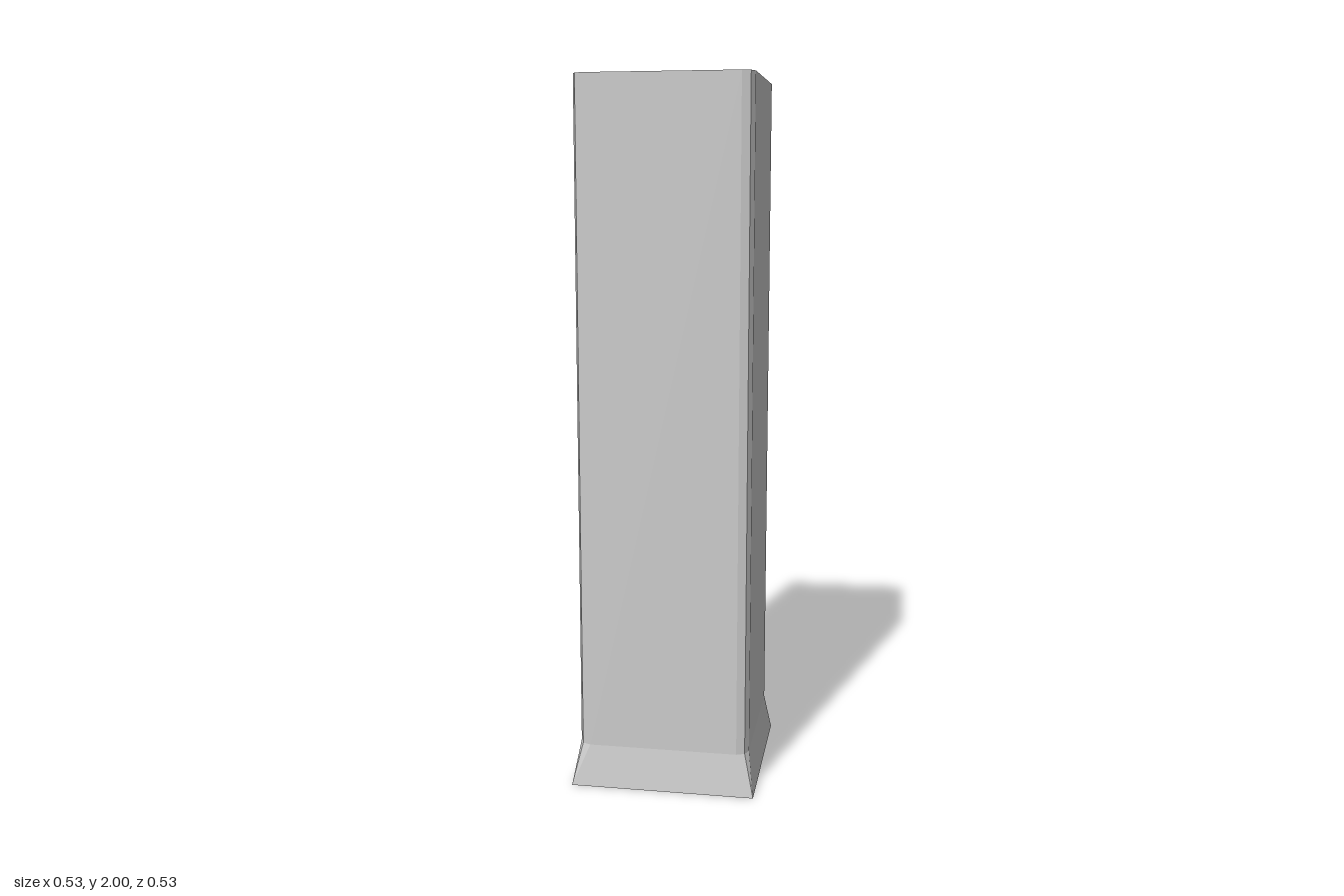
import * as THREE from 'three';

const material = new THREE.MeshStandardMaterial({ color: 0xcccccc, flatShading: true, side: THREE.DoubleSide });

// Repeat one corner's [x, z] points around the four corners at height y
function ring(corner, y) {
  const points = [];
  for (let k = 0; k < 4; k++) {
    for (const [cx, cz] of corner) {
      let x = cx, z = cz;
      for (let i = 0; i < k; i++) [x, z] = [z, -x];
      points.push([x, y, z]);
    }
  }
  return points;
}

// Open wall between two rings, skipping triangles that collapse at a shared corner
function wall(name, low, high) {
  const positions = [];
  const same = (a, b) => a.every((v, i) => v === b[i]);
  const tri = (a, b, c) => {
    if (!same(a, b) && !same(b, c) && !same(a, c)) positions.push(...a, ...b, ...c);
  };
  for (let i = 0; i < low.length; i++) {
    const j = (i + 1) % low.length;
    tri(low[i], low[j], high[j]);
    tri(low[i], high[j], high[i]);
  }
  const geometry = new THREE.BufferGeometry();
  geometry.setAttribute('position', new THREE.Float32BufferAttribute(positions, 3));
  geometry.computeVertexNormals();
  const mesh = new THREE.Mesh(geometry, material);
  mesh.name = name;
  return mesh;
}

export function createModel() {
  const rounded = [[0.212, 0.245], [0.235, 0.235], [0.245, 0.212]];
  const sharp = rounded.map(() => [0.263, 0.263]);
  const model = new THREE.Group();
  model.name = 'squareColumn';
  // Hollow shaft with bevelled corners, open at the top
  model.add(wall('shaft', ring(rounded, 0.12), ring(rounded, 2)));
  // Flared foot running out to a sharp square, open underneath
  model.add(wall('flaredBase', ring(sharp, 0), ring(rounded, 0.12)));
  return model;
}
